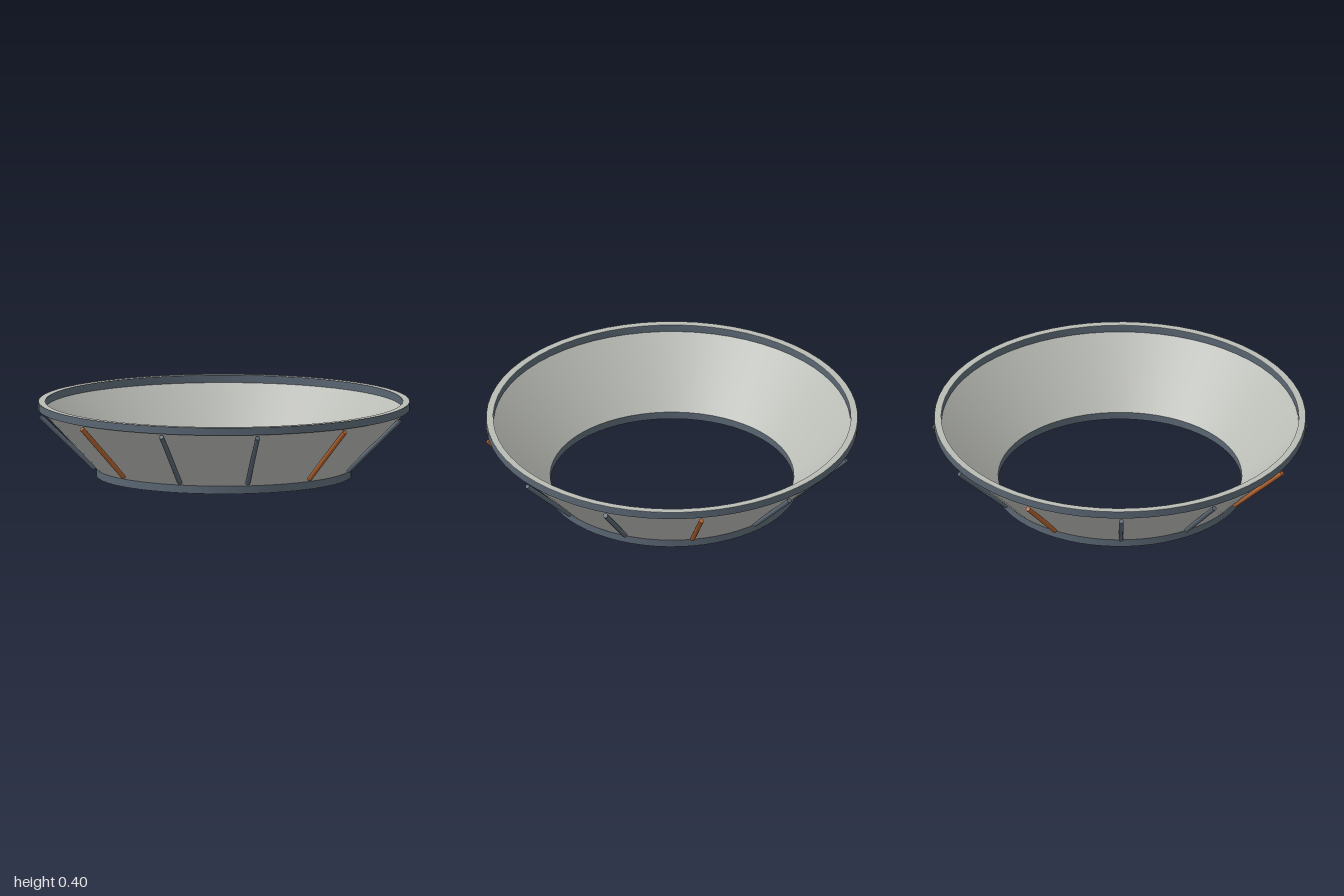
import * as THREE from 'three';
import { toCreasedNormals } from 'three/addons/utils/BufferGeometryUtils.js';

const material = (name, color) => Object.assign(new THREE.MeshStandardMaterial({ color }), { name });

export function createModel() {
  const model = new THREE.Group();
  model.name = 'flaredRing';
  const pale = material('pale grey', 0xb9bbb5);
  const slate = material('slate', 0x5a6673);
  const orange = material('burnt orange', 0xb0622f);

  // Surface of revolution with crisp profile corners
  const lathe = (name, profile, mat) => {
    const points = profile.map(([r, y]) => new THREE.Vector2(r, y));
    const mesh = new THREE.Mesh(toCreasedNormals(new THREE.LatheGeometry(points, 64), 0.4), mat);
    mesh.name = name;
    model.add(mesh);
  };

  // Flared wall, closed section: up the outside, down the inside
  lathe('flaredWall', [
    [0.645, 0], [0.673, 0], [0.673, 0.04], [0.973, 0.36], [0.983, 0.36], [0.983, 0.398],
    [0.947, 0.398], [0.947, 0.36], [0.645, 0.04], [0.645, 0],
  ], pale);

  // Bands around the upper rim and the foot
  const band = (name, inner, outer, y0, y1) => {
    lathe(name + 'Outer', [[outer - 0.02, y0], [outer, y0], [outer, y1]], slate);
    lathe(name + 'Inner', [[inner, y1], [inner, y0]], slate);
  };
  band('rimBand', 0.945, 0.985, 0.358, 0.398);
  band('footBand', 0.643, 0.675, 0.001, 0.042);
  // Ledge on top of the foot band
  lathe('footLedge', [[0.675, 0.042], [0.66, 0.042]], slate);

  // Twelve ribs up the slope, every third one orange
  const low = new THREE.Vector3(0, 0.058, 0.697);
  const high = new THREE.Vector3(0, 0.342, 0.987);
  const slope = high.clone().sub(low);
  const ribGeometry = new THREE.CylinderGeometry(0.0125, 0.0125, slope.length(), 12);
  ribGeometry.rotateX(Math.atan2(slope.z, slope.y));
  ribGeometry.translate(0, (low.y + high.y) / 2, (low.z + high.z) / 2);
  for (let i = 0; i < 12; i++) {
    const rib = new THREE.Mesh(ribGeometry, i % 3 === 0 ? orange : slate);
    rib.name = i % 3 === 0 ? 'accentRib' : 'rib';
    rib.rotation.y = (i * Math.PI) / 6;
    model.add(rib);
  }
  return model;
}
